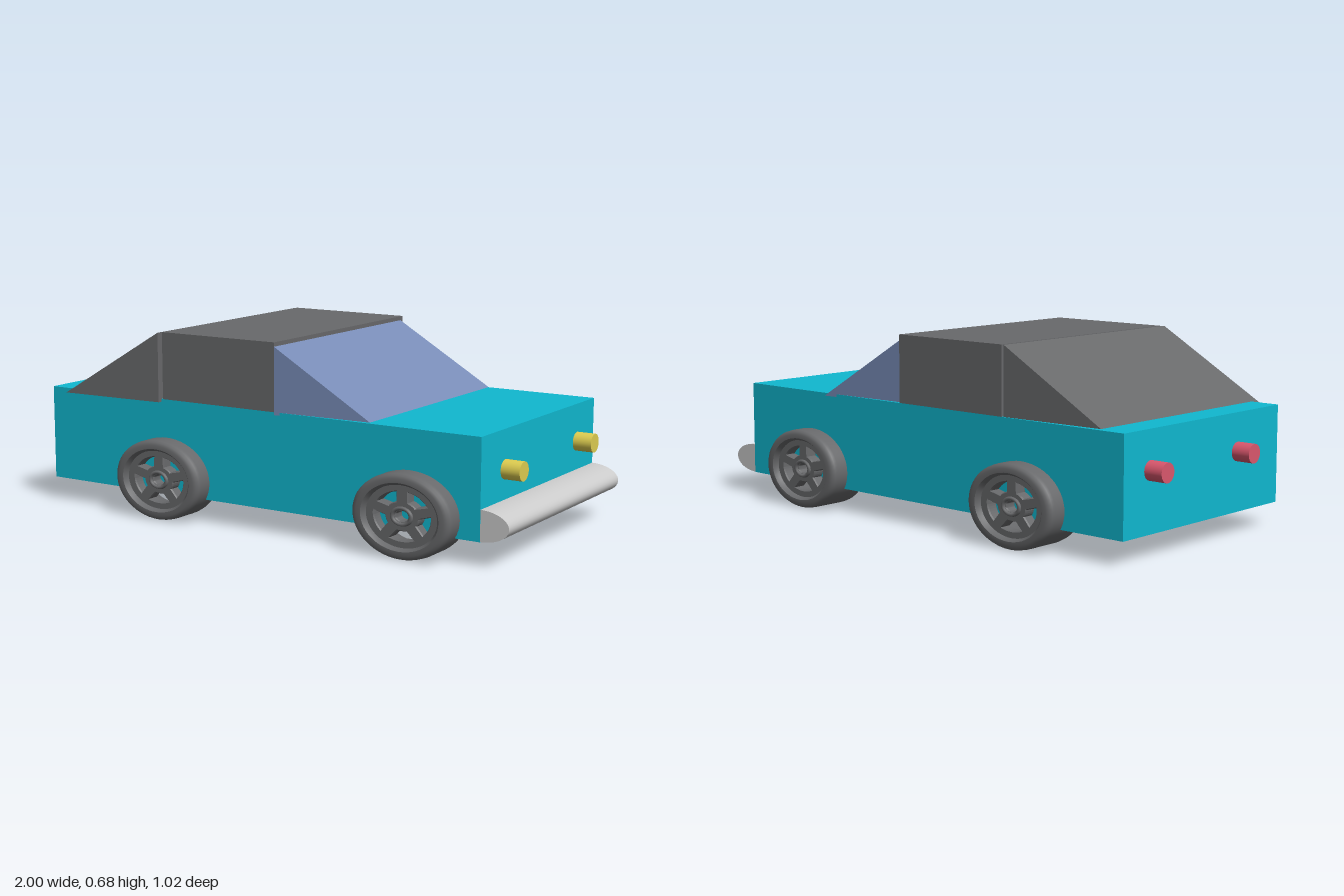
import * as THREE from 'three';
import { toCreasedNormals } from 'three/addons/utils/BufferGeometryUtils.js';

const paint = (color) => new THREE.MeshStandardMaterial({ color });
const teal = paint(0x10b8d0), dark = paint(0x68696b), glass = paint(0x788cb7);
const yellow = paint(0xdecd50), red = paint(0xd9576d), grey = paint(0xcccccc);

function add(parent, name, geometry, material, x = 0, y = 0, z = 0) {
  const mesh = new THREE.Mesh(geometry, material);
  mesh.name = name;
  mesh.position.set(x, y, z);
  parent.add(mesh);
  return mesh;
}

// Triangular prism along z, its sides skewed slightly by slope * (x - x0)
function wedge(points, z0, z1, slope) {
  const shape = new THREE.Shape(points.map(([x, y]) => new THREE.Vector2(x, y)));
  const geometry = new THREE.ExtrudeGeometry(shape, { depth: z1 - z0, bevelEnabled: false });
  geometry.translate(0, 0, z0);
  const pos = geometry.attributes.position;
  const x0 = points[0][0];
  for (let i = 0; i < pos.count; i++) pos.setZ(i, pos.getZ(i) + slope * (pos.getX(i) - x0));
  geometry.computeVertexNormals();
  return geometry;
}

// Short lamp pointing along x
function lamp(parent, name, material, x, z) {
  const geometry = new THREE.CylinderGeometry(0.034, 0.034, 0.075, 32).rotateZ(Math.PI / 2);
  add(parent, name, geometry, material, x, 0.303, z);
}

const R = 0.19; // wheel radius before flattening

// Tyre ring: axis z, outer face at z = 0
function tyreGeometry(width) {
  const profile = [
    [0.139, -width + 0.012], [0.15, -width], [0.168, -width], [0.181, -width + 0.004],
    [0.188, -width + 0.013], [R, -width + 0.026], [R, -0.026], [0.188, -0.013], [0.181, -0.004],
    [0.168, 0], [0.15, 0], [0.139, -0.012], [0.139, -width + 0.012],
  ].map(([r, y]) => new THREE.Vector2(r, y));
  return toCreasedNormals(new THREE.LatheGeometry(profile, 56).rotateX(Math.PI / 2), 0.8);
}

// Rim disc with five windows and an open hub
function rimGeometry() {
  const shape = new THREE.Shape().absarc(0, 0, 0.14, 0, Math.PI * 2);
  shape.holes.push(new THREE.Path().absarc(0, 0, 0.027, 0, Math.PI * 2, true));
  for (let i = 0; i < 5; i++) {
    const a = -Math.PI / 2 + (i * Math.PI * 2) / 5;
    const hole = new THREE.Path();
    hole.absarc(0, 0, 0.112, a - 0.46, a + 0.46, false);
    hole.absarc(0, 0, 0.062, a + 0.3, a - 0.3, true);
    hole.closePath();
    shape.holes.push(hole);
  }
  const geometry = new THREE.ExtrudeGeometry(shape, {
    depth: 0.035, curveSegments: 40, bevelEnabled: true,
    bevelThickness: 0.005, bevelSize: 0.004, bevelSegments: 1,
  });
  return toCreasedNormals(geometry.translate(0, 0, -0.06), 0.5);
}

function wheel(name, x, z, width) {
  const group = new THREE.Group();
  group.name = name;
  add(group, 'tyre', tyreGeometry(width), dark);
  add(group, 'rim', rimGeometry(), dark);
  // Raised ring around the hub
  add(group, 'hubRing', new THREE.TorusGeometry(0.036, 0.008, 8, 32), dark, 0, 0, -0.02);
  group.position.set(x, 0.152, z);
  group.scale.y = 0.775;
  if (z < 0) group.rotation.y = Math.PI;
  return group;
}

export function createModel() {
  const car = new THREE.Group();
  car.name = 'car';

  // Lower body
  add(car, 'body', new THREE.BoxGeometry(1.825, 0.35, 0.875), teal, -0.0175, 0.265, -0.0025);

  // Cabin: roof block, windscreen wedge and rear wedge
  add(car, 'roof', new THREE.BoxGeometry(0.49, 0.255, 0.875), dark, -0.16, 0.5575, -0.0025);
  add(car, 'windscreen', wedge([[0.085, 0.43], [0.48, 0.43], [0.085, 0.67]], -0.425, 0.436, -0.045), glass);
  add(car, 'rearCabin', wedge([[-0.412, 0.43], [-0.412, 0.684], [-0.835, 0.43]], -0.437, 0.452, -0.045), dark);

  // Elliptical front bumper, half sunk in the body
  const bumper = new THREE.CylinderGeometry(1, 1, 0.874, 48).rotateX(Math.PI / 2);
  add(car, 'bumper', bumper, grey, 0.895, 0.145, -0.0025).scale.set(0.105, 0.054, 1);

  // Lamps
  lamp(car, 'leftHeadlight', yellow, 0.9275, -0.3);
  lamp(car, 'rightHeadlight', yellow, 0.9275, 0.263);
  lamp(car, 'leftTailLight', red, -0.9625, -0.3);
  lamp(car, 'rightTailLight', red, -0.9625, 0.19);

  // Wheels
  car.add(wheel('frontRightWheel', 0.63, 0.507, 0.137));
  car.add(wheel('rearRightWheel', -0.39, 0.507, 0.137));
  car.add(wheel('frontLeftWheel', 0.555, -0.51, 0.175));
  car.add(wheel('rearLeftWheel', -0.495, -0.51, 0.175));
  return car;
}
